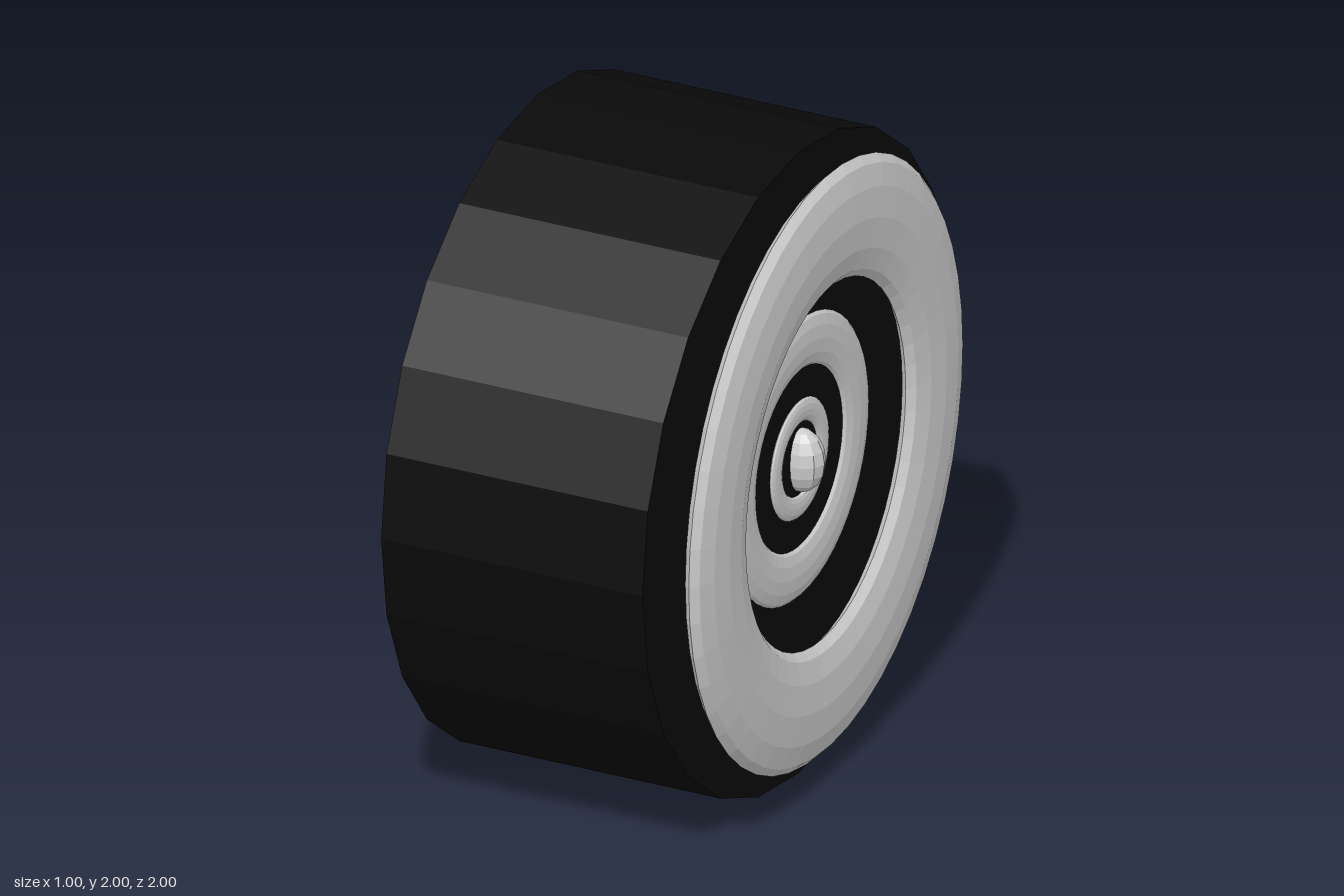
import * as THREE from 'three';

const rubber = new THREE.MeshStandardMaterial({ color: 0x0a0a0a, flatShading: true });
const metal = new THREE.MeshStandardMaterial({ color: 0xcccccc, flatShading: true });

// Flattened torus whose axis points along x, turned slightly about y by tilt
function ring(name, outer, inner, depth, x, tilt = 0) {
  const tube = (outer - inner) / 2;
  const geometry = new THREE.TorusGeometry((outer + inner) / 2, tube, 12, 48);
  geometry.scale(1, 1, depth / tube);
  const mesh = new THREE.Mesh(geometry, metal);
  mesh.name = name;
  mesh.rotation.y = Math.PI / 2 + tilt;
  mesh.position.set(x, 1.013, 0);
  return mesh;
}

export function createModel() {
  const wheel = new THREE.Group();
  wheel.name = 'wheel';

  // Solid tyre lying along x
  const tyreGeometry = new THREE.CylinderGeometry(1, 1, 0.85, 24);
  tyreGeometry.rotateZ(-Math.PI / 2);
  const tyre = new THREE.Mesh(tyreGeometry, rubber);
  tyre.name = 'tyre';
  tyre.position.set(-0.08, 1, 0);
  wheel.add(tyre);

  // Concentric trim rings on the outer face
  wheel.add(
    ring('outerRing', 0.922, 0.557, 0.046, 0.428, 0.03),
    ring('middleRing', 0.445, 0.28, 0.021, 0.343),
    ring('innerRing', 0.186, 0.114, 0.012, 0.347)
  );

  // Oval hub knob
  const knob = new THREE.Mesh(new THREE.SphereGeometry(1, 10, 8), metal);
  knob.name = 'hubKnob';
  knob.scale.set(0.075, 0.1, 0.063);
  knob.position.set(0.352, 1.01, -0.005);
  wheel.add(knob);

  return wheel;
}
